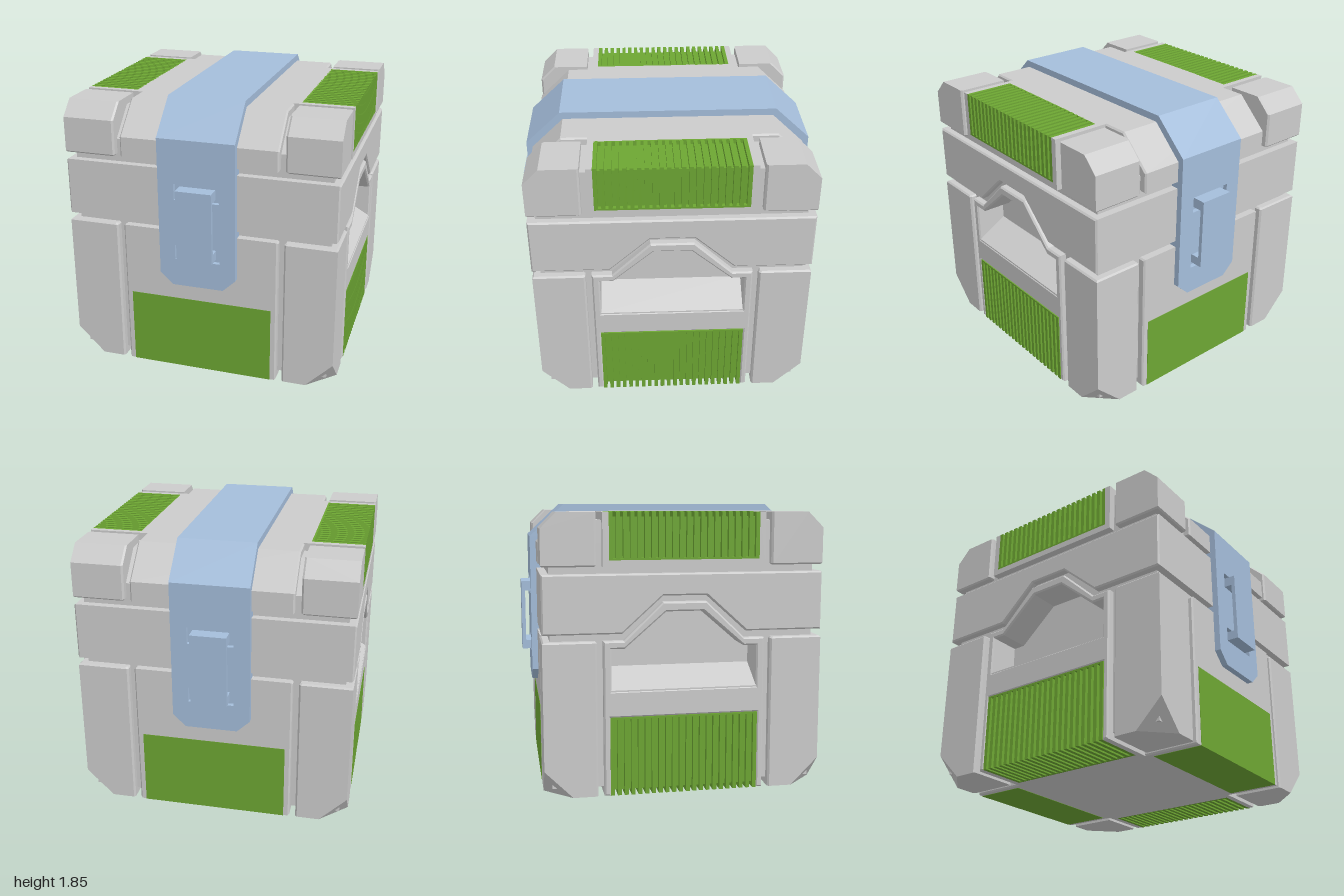
import * as THREE from 'three';
import { ConvexGeometry } from 'three/addons/geometries/ConvexGeometry.js';

const grey = new THREE.MeshStandardMaterial({ color: 0xcccccc });
const green = new THREE.MeshStandardMaterial({ color: 0x6da633 });
const blue = new THREE.MeshStandardMaterial({ color: 0xa4bdda });

const toVectors = (points) => points.map(([a, b]) => new THREE.Vector2(a, b));

// Half outline (first coordinate >= 0) completed by its mirror image
const mirrored = (half) => [...half, ...half.map(([a, b]) => [-a, b]).reverse()];

function add(parent, name, geometry, material) {
  const mesh = new THREE.Mesh(geometry, material);
  mesh.name = name;
  parent.add(mesh);
  return mesh;
}

// Box given by its limits on each axis
function box(parent, name, [x0, x1], [y0, y1], [z0, z1], material) {
  const geometry = new THREE.BoxGeometry(x1 - x0, y1 - y0, z1 - z0);
  geometry.translate((x0 + x1) / 2, (y0 + y1) / 2, (z0 + z1) / 2);
  return add(parent, name, geometry, material);
}

// Extrusion centred on the origin, with chamfered end edges
function slab(points, halfDepth, bevel = 0, holes = []) {
  const shape = new THREE.Shape(toVectors(points));
  for (const hole of holes) shape.holes.push(new THREE.Path(toVectors(hole)));
  const geometry = new THREE.ExtrudeGeometry(shape, {
    depth: 2 * (halfDepth - bevel), bevelEnabled: bevel > 0, bevelSegments: 1,
    bevelSize: bevel, bevelThickness: bevel, bevelOffset: -bevel,
  });
  return geometry.translate(0, 0, bevel - halfDepth);
}

// Outline in (z, y), extruded across the width
const across = (...args) => slab(...args).rotateY(-Math.PI / 2);

// Corner block: groove edges are chamfered; the outer ones stay sharp
function cornerBlock(parent, name, sx, sz, levels) {
  const points = [];
  for (const { y, inset = 0, zMax = 0.9, cut = 0 } of levels) {
    const i = 0.56 + inset, c = 0.012, o = 0.9 - inset;
    const zo = Math.min(zMax, o);
    const ring = [[i, i], [i, zo - c], [i + c, zo], [o, i + c], [o - c, i]];
    if (cut) ring.push([o - cut, zo], [o, zo - cut]);
    else ring.push([o, zo]);
    for (const [x, z] of ring) points.push(new THREE.Vector3(sx * x, y, sz * z));
  }
  add(parent, name, new ConvexGeometry(points), grey);
}

// Ribbed green block on the +x side; its slots wrap round the open edge
function ribbedPanel(parent, name, y0, y1, openTop) {
  const group = new THREE.Group();
  group.name = name;
  const depth = 0.03, rim = 0.012, half = 0.48, slots = 21, rib = 0.025;
  const [b0, b1] = openTop ? [y0, y1 - depth] : [y0 + depth, y1];
  box(group, 'ribBase', [0.55, 0.9 - depth], [b0, b1], [-half, half], green);
  const closed = openTop ? [y0, y0 + rim] : [y1 - rim, y1];
  box(group, 'sideRim', [0.8, 0.9], closed, [-half, half], green);
  box(group, 'innerRim', [0.56, 0.56 + rim], [y0, y1], [-half, half], green);
  for (let i = 0; i <= slots; i++) {
    const z = -half + rib / 2 + (i * (2 * half - rib)) / slots;
    box(group, 'rib', [0.56, 0.9], [y0, y1], [z - rib / 2, z + rib / 2], green);
  }
  parent.add(group);
}

const rect = (x0, x1, y0, y1) => [[x0, y0], [x1, y0], [x1, y1], [x0, y1]];

export function createModel() {
  const crate = new THREE.Group();
  crate.name = 'crate';
  const bevel = 0.01;

  // Inner core, seen at the bottom of the grooves, with side recesses
  const recess = mirrored([[0.47, 0.68], [0.47, 0.95], [0.385, 0.95], [0.12, 1.18]]);
  const coreOutline = mirrored([[0.85, 0.05], [0.85, 1.57], [0.67, 1.75]]);
  add(crate, 'core', across(coreOutline, 0.85, 0, [recess]), grey);
  box(crate, 'recessBack', [-0.69, 0.69], [0.1, 1.5], [-0.6, 0.6], grey);

  // Lower body: front-to-back slab, and side panels with arch and rib notch
  add(crate, 'lowerBody', across(mirrored([[0.9, 0], [0.9, 1.0]]), 0.52, bevel), grey);
  box(crate, 'floorPlate', [-0.56, 0.56], [0, 0.6], [-0.52, 0.52], grey);
  const sidePanel = mirrored([
    [0.48, 0.51], [0.48, 0], [0.52, 0], [0.52, 1.0], [0.39, 1.0], [0.14, 1.24],
  ]);
  add(crate, 'sidePanels', across(sidePanel, 0.9, bevel, [recess]), grey);

  // Middle band, notched over the arches
  const band = mirrored([[0.14, 1.28], [0.4, 1.045], [0.9, 1.045], [0.9, 1.42]]);
  add(crate, 'middleBand', across(band, 0.9, bevel), grey);

  // Lid: sloped front-to-back slab, and side pieces that frame the ribs
  const lid = mirrored([[0.9, 1.465], [0.9, 1.6], [0.69, 1.8]]);
  add(crate, 'lidCentre', across(lid, 0.52, bevel), grey);
  box(crate, 'lidPlate', [-0.565, 0.565], [1.465, 1.8], [-0.52, 0.52], grey);
  const lidSide = mirrored([[0.48, 1.505], [0.48, 1.8], [0.52, 1.8], [0.52, 1.465]]);
  add(crate, 'lidSides', across(lidSide, 0.9), grey);

  // Corner posts with cut feet, and lid corner blocks
  for (const sx of [-1, 1]) {
    for (const sz of [-1, 1]) {
      cornerBlock(crate, 'cornerPost', sx, sz, [
        { y: 0, cut: 0.18 }, { y: 0.18 }, { y: 0.99 }, { y: 1.0, inset: 0.01 },
      ]);
      cornerBlock(crate, 'lidCorner', sx, sz, [
        { y: 1.465, inset: 0.01 }, { y: 1.475 }, { y: 1.7 }, { y: 1.8, zMax: 0.8 },
      ]);
    }
  }

  // Each side: ribbed panels and the sloped floor of the hand recess
  for (const turn of [0, Math.PI]) {
    const side = new THREE.Group();
    side.name = 'sideDetails';
    ribbedPanel(side, 'lowerRibs', 0, 0.51, false);
    ribbedPanel(side, 'lidRibs', 1.505, 1.8, true);
    const ramp = [[0.68, 0.67], [0.895, 0.67], [0.895, 0.685], [0.68, 0.81]];
    add(side, 'recessRamp', slab(ramp, 0.475), grey);
    side.rotation.y = turn;
    crate.add(side);
  }

  // Strap over the lid
  const strapTop = mirrored([[0.85, 1.63], [0.94, 1.63], [0.71, 1.845]]);
  add(crate, 'strapTop', across(strapTop, 0.255), blue);

  // Front and back: flat green panel, strap end with pockets, latch handle
  const strapEnd = mirrored([[0.17, 0.635], [0.255, 0.715], [0.255, 1.63]]);
  const pockets = [rect(-0.15, 0.15, 1.23, 1.34), rect(-0.15, 0.15, 0.82, 0.92)];
  const handle = [
    [0.9, 0.84], [1, 0.84], [1, 1.315], [0.9, 1.315],
    [0.9, 1.25], [0.975, 1.25], [0.975, 0.9], [0.9, 0.9],
  ];
  for (const turn of [0, Math.PI]) {
    const face = new THREE.Group();
    face.name = 'faceDetails';
    box(face, 'greenPanel', [-0.48, 0.48], [-0.002, 0.515], [0.56, 0.902], green);
    add(face, 'strapBack', slab(strapEnd, 0.03), blue).position.z = 0.88;
    add(face, 'strapEnd', slab(strapEnd, 0.015, 0, pockets), blue).position.z = 0.925;
    add(face, 'latchHandle', across(handle, 0.118), blue);
    face.rotation.y = turn;
    crate.add(face);
  }
  return crate;
}
